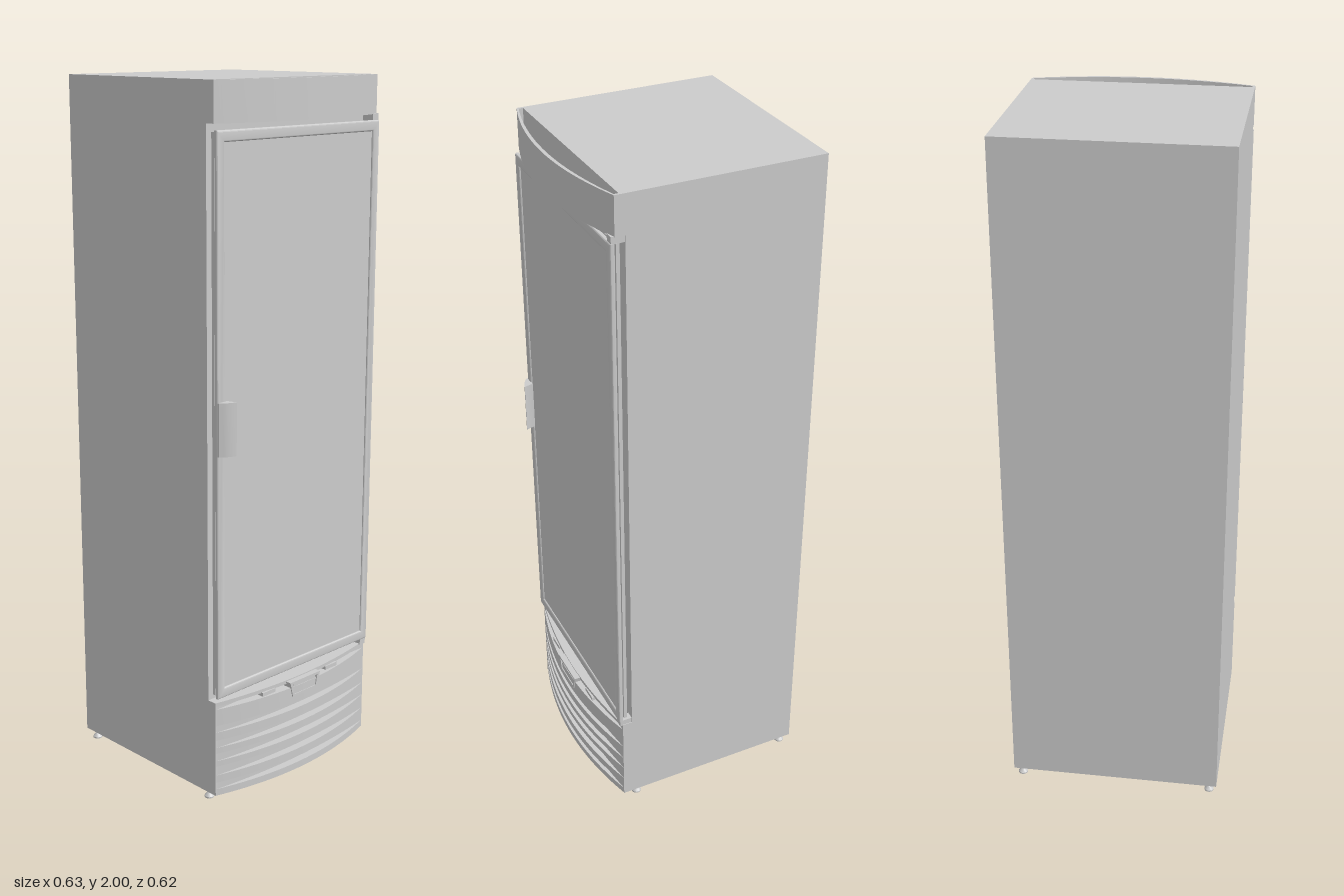
import * as THREE from 'three';
import { toCreasedNormals } from 'three/addons/utils/BufferGeometryUtils.js';

const mat = new THREE.MeshStandardMaterial({ color: 0xcccccc });
const HALF = 0.31; // half width of the cabinet along z

export function createModel() {
  const group = new THREE.Group();

  function add(name, geo, x = 0, y = 0, z = 0) {
    const mesh = new THREE.Mesh(geo, mat);
    mesh.name = name;
    mesh.position.set(x, y, z);
    group.add(mesh);
    return mesh;
  }
  function box(name, x0, x1, y0, y1, z0, z1) {
    return add(name, new THREE.BoxGeometry(x1 - x0, y1 - y0, z1 - z0),
      (x0 + x1) / 2, (y0 + y1) / 2, (z0 + z1) / 2);
  }
  const toShape = (pts) => new THREE.Shape(pts.map(([a, b]) => new THREE.Vector2(a, b)));

  // vertical prism from a plan outline given as [x, z]
  function prism(name, plan, y0, y1, hole) {
    const flip = (pts) => pts.map(([x, z]) => [x, -z]);
    const shape = toShape(flip(plan));
    if (hole) shape.holes.push(toShape(flip(hole)));
    const geo = new THREE.ExtrudeGeometry(shape, { depth: y1 - y0, bevelEnabled: false });
    geo.rotateX(-Math.PI / 2);
    return add(name, toCreasedNormals(geo, 0.5), 0, y0, 0);
  }
  // plan with a straight back and a bowed front
  function bowed(back, end, apex, half) {
    const pts = [[back, half], [back, -half]];
    for (let i = 0; i <= 32; i++) {
      const t = -1 + i / 16;
      pts.push([apex - (apex - end) * t * t, t * half]);
    }
    return pts.reverse();
  }

  // cabinet with its front set back behind the door
  const side = toShape([[-0.316, 0.03], [0.264, 0.03], [0.264, 0.315], [0.235, 0.315],
    [0.235, 1.893], [-0.316, 1.893]]);
  add('cabinet', new THREE.ExtrudeGeometry(side, { depth: 2 * HALF, bevelEnabled: false }), 0, 0, -HALF);

  // bowed canopy with a pocket open at the top
  const pocket = bowed(0.248, 0.26, 0.306, 0.303);
  prism('canopy', bowed(-0.316, 0.263, 0.316, HALF), 1.893, 2, pocket);
  prism('canopyPocketFloor', pocket, 1.893, 1.903);

  // bowed grille: a shallow core with slats in front
  prism('grilleCore', bowed(0.25, 0.263, 0.288, HALF), 0.03, 0.295);
  const slats = [[0.03, 0.05], [0.07, 0.093], [0.12, 0.137], [0.16, 0.178], [0.2, 0.225], [0.245, 0.295]];
  for (const [y0, y1] of slats) prism('grilleSlat', bowed(0.25, 0.263, 0.312, HALF), y0, y1);
  prism('grilleTopPlate', bowed(0.25, 0.263, 0.297, HALF), 0.304, 0.315);
  for (const z of [-0.13, 0.13]) box('grilleClip', 0.25, 0.296, 0.295, 0.306, z - 0.025, z + 0.025);

  // framed latch in the middle of the grille
  const latch = toShape([[-0.05, 0.265], [0.05, 0.265], [0.062, 0.312], [-0.062, 0.312]]);
  latch.holes.push(toShape([[-0.045, 0.273], [0.045, 0.273], [0.051, 0.305], [-0.051, 0.305]]));
  const latchGeo = new THREE.ExtrudeGeometry(latch, { depth: 0.04, bevelEnabled: false });
  latchGeo.rotateY(Math.PI / 2);
  add('grilleLatchFrame', latchGeo, 0.274);
  box('grilleLatchPlate', 0.27, 0.31, 0.27, 0.306, -0.046, 0.046);

  // door: back slab, spacer, and a rim around a slightly sunken panel
  const y0 = 0.33, y1 = 1.877;
  box('doorBack', 0.247, 0.257, y0 + 0.005, y1 - 0.005, -0.303, 0.303);
  box('doorCore', 0.255, 0.265, y0 + 0.012, y1 - 0.012, -0.296, 0.296);
  box('doorPanel', 0.262, 0.271, y0 + 0.01, y1 - 0.01, -0.295, 0.295);
  const rect = (h, a, b) => [[-h, a], [h, a], [h, b], [-h, b]];
  const bevel = 0.005;
  const rim = toShape(rect(HALF - bevel, y0 + bevel, y1 - bevel));
  rim.holes.push(toShape(rect(0.283 + bevel, 0.36 - bevel, 1.847 + bevel)));
  const rimGeo = new THREE.ExtrudeGeometry(rim, {
    depth: 0.004, bevelThickness: 0.005, bevelSize: bevel, bevelSegments: 3,
  });
  rimGeo.rotateY(Math.PI / 2);
  add('doorRim', toCreasedNormals(rimGeo, 0.6), 0.267);

  // hinges at the far side of the door
  for (const y of [0.322, 1.885]) box('hinge', 0.225, 0.272, y - 0.01, y + 0.01, -0.308, -0.285);

  // curved grip
  prism('doorHandle', [[0.274, 0.31], [0.28, 0.309], [0.287, 0.301], [0.294, 0.289],
    [0.299, 0.277], [0.302, 0.266], [0.292, 0.27], [0.279, 0.273], [0.274, 0.273]], 1.03, 1.177);

  // levelling feet
  const foot = [[0, 0], [0.014, 0], [0.014, 0.004], [0.005, 0.015], [0.005, 0.032]]
    .map(([r, y]) => new THREE.Vector2(r, y));
  for (const x of [-0.293, 0.213])
    for (const z of [-0.287, 0.287])
      add('foot', toCreasedNormals(new THREE.LatheGeometry(foot, 16), 0.6), x, 0, z);

  return group;
}
